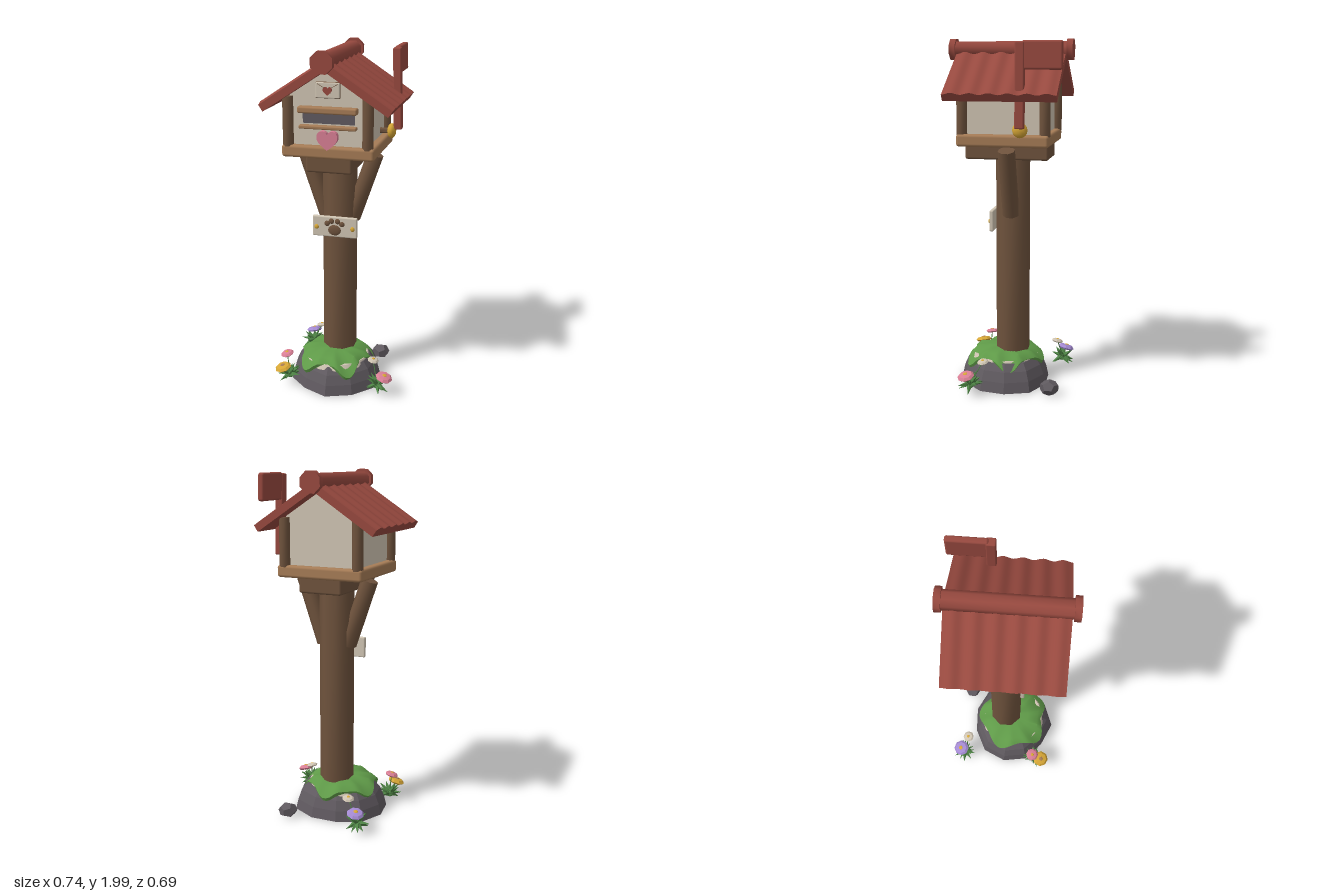
import * as THREE from 'three';
import { toCreasedNormals } from 'three/addons/utils/BufferGeometryUtils.js';
import { RoundedBoxGeometry } from 'three/addons/geometries/RoundedBoxGeometry.js';

const mat = (name, color) => {
  const m = new THREE.MeshStandardMaterial({ color });
  m.name = name;
  return m;
};

export function createModel() {
  const model = new THREE.Group();
  model.name = 'mailbox';
  const red = mat('roofRed', 0x97493f), bark = mat('barkBrown', 0x6f533d);
  const wood = mat('lightWood', 0xa67c56), cream = mat('cream', 0xd0c5b3);
  const stone = mat('stoneGrey', 0x605a60), grass = mat('grassGreen', 0x5f9a48);
  const leaf = mat('leafGreen', 0x4f8546), pink = mat('pink', 0xd97f95);
  const gold = mat('gold', 0xd6a636), lilac = mat('lilac', 0xa48ad2);

  let seed = 7;
  const rand = () => (seed = (seed * 16807) % 2147483647) / 2147483647;

  const add = (name, geo, material, x = 0, y = 0, z = 0, parent = model) => {
    const m = new THREE.Mesh(geo, material);
    m.name = name;
    m.position.set(x, y, z);
    parent.add(m);
    return m;
  };
  const flat = (geo) => {
    const g = geo.index ? geo.toNonIndexed() : geo;
    g.computeVertexNormals();
    return g;
  };
  const V = (x, y, z) => new THREE.Vector3(x, y, z);
  const block = (w, h, d, r = 0.008) => new RoundedBoxGeometry(w, h, d, 2, r);
  const rod = (r, h) =>
    toCreasedNormals(new THREE.CylinderGeometry(r, r, h, 8, 1, false, Math.PI / 8), 0.9);
  const lathe = (points, sides) =>
    new THREE.LatheGeometry(points.map(([r, y]) => new THREE.Vector2(r, y)), sides);
  // rod or cone running between two points
  const between = (name, geo, material, a, b, parent = model) => {
    const m = add(name, geo, material, 0, 0, 0, parent);
    m.position.copy(a).add(b).multiplyScalar(0.5);
    m.quaternion.setFromUnitVectors(V(0, 1, 0), b.clone().sub(a).normalize());
    return m;
  };

  // Rock base: lathe with an irregular outline
  const rock = lathe([[0, 0.01], [0.27, 0.01], [0.256, 0.07], [0.232, 0.125], [0.2, 0.165], [0, 0.185]], 11);
  let p = rock.attributes.position;
  for (let i = 0; i < p.count; i++) {
    const a = Math.atan2(p.getX(i), p.getZ(i));
    const k = 1 + 0.03 * Math.sin(3 * a + 1) + 0.025 * Math.cos(5 * a);
    p.setX(i, p.getX(i) * k * 1.02);
    p.setZ(i, p.getZ(i) * k * 0.96);
  }
  add('rockBase', flat(rock), stone, -0.01, 0, 0.03);
  add('rockRim', new THREE.CylinderGeometry(0.19, 0.205, 0.03, 24), cream, -0.012, 0.16, 0.035);
  const pebble = add('smallStone', flat(new THREE.DodecahedronGeometry(0.056, 0)), stone, 0.2, 0.05, -0.26);
  pebble.scale.y = 0.8;

  // Grass cap with five drooping lobes, the front one longest
  const turf = lathe([[0, 0.145], [0.205, 0.15], [0.213, 0.172], [0.175, 0.204], [0.1, 0.214], [0, 0.214]], 60);
  p = turf.attributes.position;
  for (let i = 0; i < p.count; i++) {
    const x = p.getX(i), z = p.getZ(i);
    const a = Math.atan2(x, z) - 0.58;
    const lobe = Math.cos(5 * a) * (1 + 0.25 * Math.cos(a));
    const t = Math.min(1, Math.max(0, (Math.hypot(x, z) - 0.12) / 0.09));
    const k = 1 + 0.1 * lobe * t;
    p.setXYZ(i, x * k, p.getY(i) - 0.048 * t * Math.max(0, lobe), z * k);
  }
  add('grassCap', toCreasedNormals(turf, 0.8), grass, -0.015, 0, 0.035);

  // Post, head block and side braces
  add('post', rod(0.099, 1.22), bark, 0, 0.76, -0.01);
  add('headBlock', block(0.255, 0.095, 0.47, 0.012), bark, 0, 1.3875, 0.005);
  for (const s of [-1, 1])
    between('brace', rod(0.048, 0.4), bark, V(s * 0.075, 1.03, -0.012), V(s * 0.2, 1.395, -0.012));

  // Paw sign
  const sign = new THREE.Group();
  sign.name = 'pawSign';
  sign.position.set(-0.004, 0.99, 0.092);
  model.add(sign);
  add('signPlate', block(0.26, 0.12, 0.024, 0.007), cream, 0, 0, 0, sign);
  const pad = (name, material, x, y, rx, ry) => {
    const m = add(name, new THREE.SphereGeometry(1, 14, 8), material, x, y, 0.013, sign);
    m.scale.set(rx, ry, 0.008);
  };
  pad('pawPad', bark, 0, -0.018, 0.038, 0.031);
  [[-0.043, 0.02], [-0.018, 0.035], [0.018, 0.035], [0.043, 0.02]].forEach(
    ([x, y]) => pad('pawToe', bark, x, y, 0.016, 0.016));
  for (const s of [-1, 1]) pad('signScrew', gold, s * 0.105, -0.004, 0.013, 0.014);

  // House: floor with frame rails, gabled body, corner posts
  add('floor', block(0.42, 0.05, 0.42), bark, -0.002, 1.455, 0.005);
  for (const s of [-1, 1]) {
    add('frontBackRail', block(0.51, 0.068, 0.066, 0.016), wood, -0.002, 1.456, 0.005 + s * 0.222);
    add('sideRail', block(0.066, 0.068, 0.5, 0.016), wood, -0.002 + s * 0.222, 1.456, 0.005);
  }
  const gable = new THREE.Shape([[-0.212, 1.47], [0.212, 1.47], [0.212, 1.765], [0, 1.9], [-0.212, 1.765]]
    .map(([x, y]) => new THREE.Vector2(x, y)));
  add('houseBody', new THREE.ExtrudeGeometry(gable, { depth: 0.44, bevelEnabled: false }), cream, -0.003, 0, -0.215);
  for (const x of [-0.224, 0.214]) for (const z of [-0.225, 0.232])
    add('cornerPost', rod(0.03, 0.27), bark, x, 1.615, z);

  // Corrugated roof slabs
  const tilt = 0.58, c = Math.cos(tilt), s = Math.sin(tilt), half = 0.307, steps = 48;
  const slab = new THREE.Shape();
  slab.moveTo(-half, 0);
  slab.lineTo(half, 0);
  for (let i = 0; i <= steps; i++)
    slab.lineTo(half - (2 * half * i) / steps, 0.047 - 0.006 * Math.cos((i / steps) * 12 * Math.PI));
  const slabGeo = toCreasedNormals(new THREE.ExtrudeGeometry(slab, { depth: 0.404, bevelEnabled: false }), 0.7);
  for (const side of [-1, 1]) {
    const m = add('roofSlab', slabGeo, red, -0.003, 1.894, 0);
    m.quaternion.setFromRotationMatrix(new THREE.Matrix4().makeBasis(
      V(0, 0, -side), V(side * s, c, 0), V(side * c, -s, 0)));
  }
  // Ridge beam with end caps
  add('ridgeBeam', rod(0.05, 0.66), red, -0.006, 1.94, 0).rotation.x = Math.PI / 2;
  for (const z of [-0.33, 0.33])
    add('ridgeCap', rod(0.063, 0.034), red, -0.006, 1.942, z).rotation.x = Math.PI / 2;

  // Front slot and trims
  add('slot', new THREE.BoxGeometry(0.285, 0.055, 0.016), stone, 0, 1.636, 0.223);
  add('slotAwning', block(0.325, 0.036, 0.05, 0.01), wood, -0.002, 1.683, 0.243);
  add('slotSill', block(0.315, 0.02, 0.04, 0.007), wood, -0.002, 1.591, 0.24);

  // Hearts and envelope plaque
  const heart = (w, depth) => {
    const h = new THREE.Shape();
    h.moveTo(0, -0.46);
    h.bezierCurveTo(0.2, -0.3, 0.53, -0.1, 0.53, 0.2);
    h.bezierCurveTo(0.53, 0.55, 0.12, 0.6, 0, 0.33);
    h.bezierCurveTo(-0.12, 0.6, -0.53, 0.55, -0.53, 0.2);
    h.bezierCurveTo(-0.53, -0.1, -0.2, -0.3, 0, -0.46);
    return new THREE.ExtrudeGeometry(h, { depth: 1, bevelEnabled: false, curveSegments: 8 }).scale(w, w, depth);
  };
  add('pinkHeart', heart(0.108, 0.032), pink, -0.002, 1.52, 0.23);
  add('envelopeEdge', block(0.134, 0.086, 0.014, 0.005), bark, -0.003, 1.787, 0.228);
  add('envelope', block(0.13, 0.082, 0.02, 0.005), cream, -0.003, 1.787, 0.23);
  for (const k of [-1, 1])
    between('envelopeFold', new THREE.BoxGeometry(0.0025, 0.062, 0.003), bark,
      V(-0.003 + k * 0.058, 1.822, 0.24), V(-0.003, 1.79, 0.24));
  add('envelopeHeart', heart(0.046, 0.008), red, -0.003, 1.782, 0.238);

  // Signal flag on its pivot knob
  const flag = new THREE.Group();
  flag.name = 'signalFlag';
  flag.position.set(0.31, 1.53, -0.105);
  flag.rotation.z = 0.03;
  model.add(flag);
  add('flagPole', block(0.045, 0.45, 0.05, 0.007), red, 0, 0.225, 0, flag);
  add('flagPlate', block(0.036, 0.15, 0.215, 0.012), red, 0, 0.382, -0.118, flag);
  const knob = add('flagKnob', new THREE.SphereGeometry(0.042, 12, 8), gold, 0.274, 1.52, -0.1);
  knob.scale.x = 0.6;
  add('flagAxle', rod(0.016, 0.06), bark, 0.232, 1.52, -0.1).rotation.z = Math.PI / 2;

  // Spiky leaf clumps with flowers
  const leafGeo = flat(new THREE.ConeGeometry(0.023, 0.09, 4));
  const clump = (x, z) => {
    const g = new THREE.Group();
    g.name = 'leafClump';
    g.position.set(x, 0.07, z);
    model.add(g);
    for (let i = 0; i < 20; i++) {
      const a = i * 2.4;
      const d = V(Math.cos(a), -0.7 + 2 * rand(), Math.sin(a)).normalize();
      between('leaf', leafGeo, leaf, V(0, 0, 0), d.multiplyScalar(0.05 + 0.02 * rand()), g);
    }
    return V(x, 0.07, z);
  };
  const capGeo = flat(lathe([[0, -0.25], [0.8, -0.2], [1, 0], [0.75, 0.25], [0, 0.38]], 8));
  const flower = (root, material, x, y, z, r) => {
    const top = V(x, y, z);
    between('stem', new THREE.CylinderGeometry(0.0025, 0.003, root.distanceTo(top), 5), leaf, root, top);
    const g = new THREE.Group();
    g.name = 'flower';
    g.position.copy(top);
    g.rotation.set(z * 0.8, 0, -x * 0.8);
    model.add(g);
    add('petals', capGeo, material, 0, 0, 0, g).scale.setScalar(r);
    const eye = add('flowerCentre', capGeo, material === gold ? wood : gold, 0, r * 0.3, 0, g);
    eye.scale.setScalar(r * 0.3);
  };
  const right = clump(0.275, 0.185), left = clump(-0.26, 0.19), back = clump(-0.25, -0.275);
  flower(right, pink, 0.318, 0.128, 0.2, 0.05);
  flower(right, cream, 0.235, 0.188, 0.12, 0.034);
  flower(left, gold, -0.285, 0.13, 0.238, 0.05);
  flower(left, pink, -0.277, 0.193, 0.18, 0.04);
  flower(back, lilac, -0.25, 0.13, -0.295, 0.05);
  flower(back, cream, -0.185, 0.192, -0.25, 0.035);

  return model;
}
